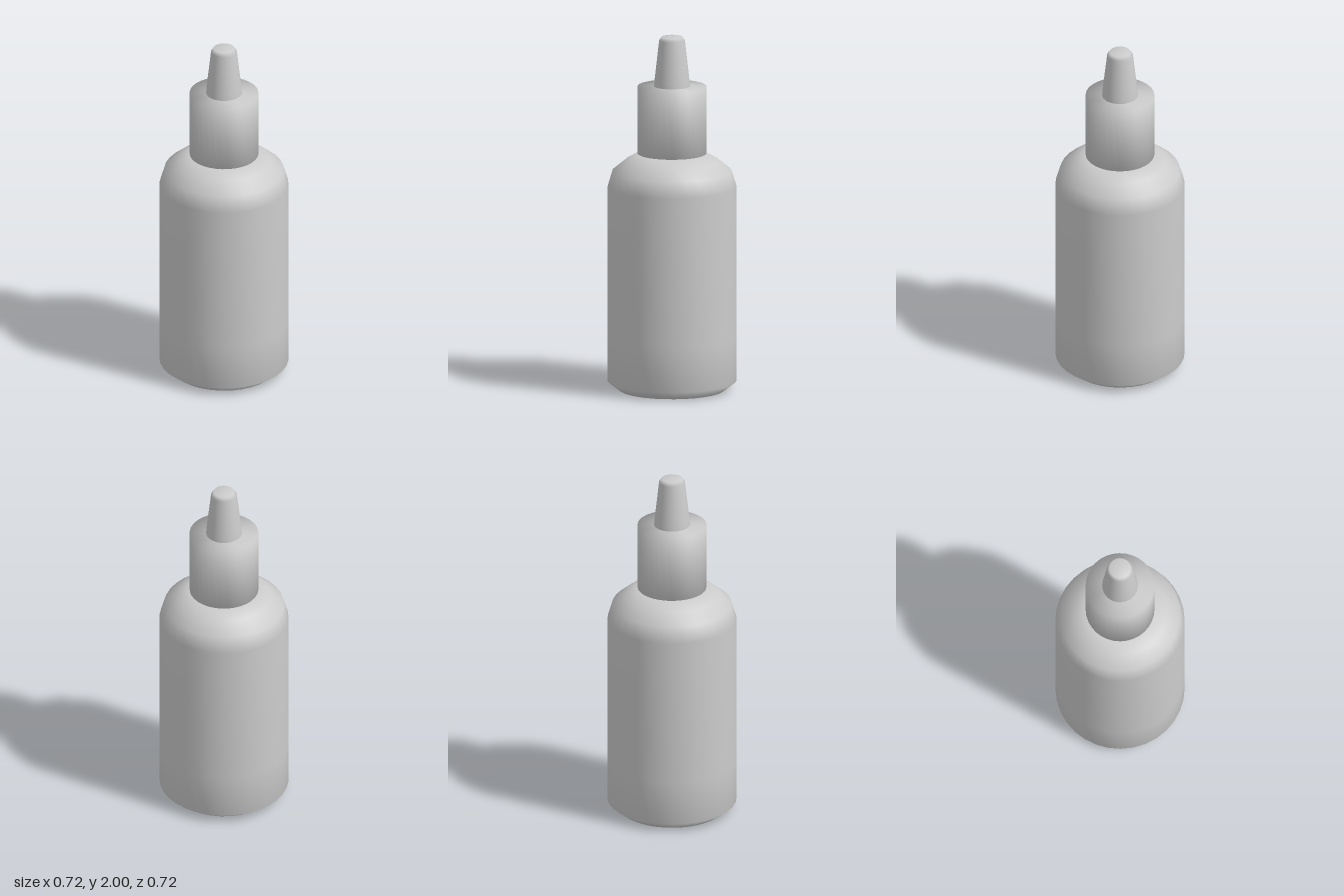
import * as THREE from 'three';

const SEGMENTS = 32;

// Smooth turned part; profile is [radius, height] from bottom to top
function turned(name, profile, material) {
  const points = profile.map(([r, y]) => new THREE.Vector2(r, y));
  const mesh = new THREE.Mesh(new THREE.LatheGeometry(points, SEGMENTS), material);
  mesh.name = name;
  return mesh;
}

export function createModel() {
  const model = new THREE.Group();
  model.name = 'dropperBottle';
  const material = new THREE.MeshStandardMaterial({ color: 0xcccccc });

  // Bottle with a shallow hollow in the base, bevelled foot and rounded shoulder
  model.add(turned('bottleBody', [
    [0, 0.02], [0.27, 0.02], [0.295, 0], [0.36, 0.05], [0.36, 0.3],
    [0.36, 1.15], [0.333, 1.24], [0.26, 1.3], [0.19, 1.34], [0, 1.34],
  ], material));

  // Plain cylindrical cap
  model.add(turned('cap', [
    [0, 1.335], [0.192, 1.335], [0.192, 1.72], [0, 1.72],
  ], material));

  // Tapered nozzle set into the cap
  model.add(turned('nozzle', [
    [0.1, 1.71], [0.098, 1.75], [0.072, 1.98], [0.058, 2], [0, 2],
  ], material));

  return model;
}
